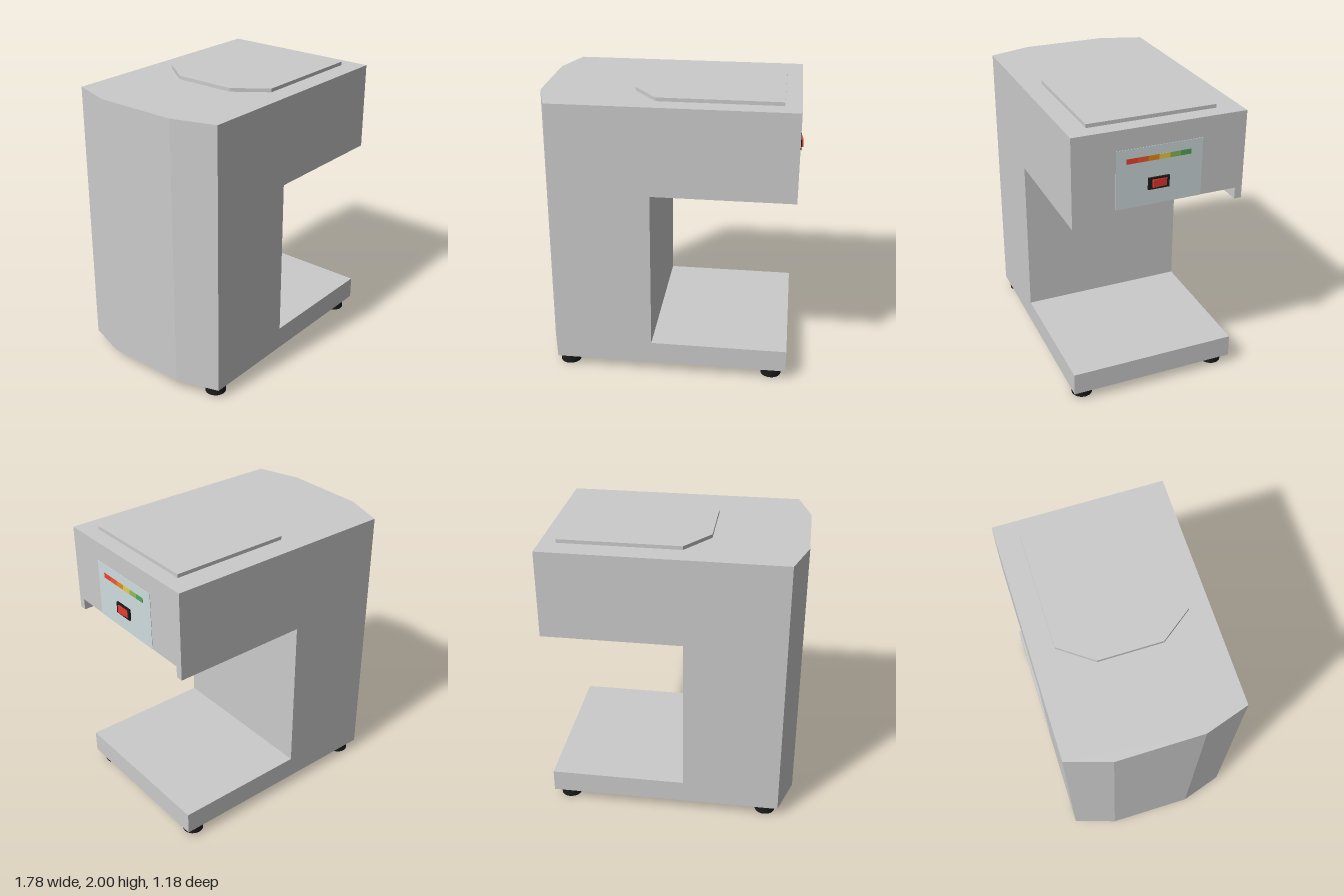
import * as THREE from 'three';

const mat = (color) => new THREE.MeshStandardMaterial({ color });

// Upright slab from a plan outline of [x, z] points
function slab(points, y0, y1) {
  const shape = new THREE.Shape(points.map(([x, z]) => new THREE.Vector2(x, -z)));
  const g = new THREE.ExtrudeGeometry(shape, { depth: y1 - y0, bevelEnabled: false });
  return g.rotateX(-Math.PI / 2).translate(0, y0, 0);
}

// Body plan with chamfered rear corners, reaching forward to x = end
const bodyPlan = (end) => [
  [end, 0.59], [end, -0.595], [-0.795, -0.595], [-0.89, -0.3], [-0.89, 0.29], [-0.795, 0.59],
];

export function createModel() {
  const model = new THREE.Group();
  const grey = mat(0xcccccc);
  const black = mat(0x1c1c1c);

  const add = (name, geometry, material, x = 0, y = 0, z = 0) => {
    const mesh = new THREE.Mesh(geometry, material);
    mesh.name = name;
    mesh.position.set(x, y, z);
    model.add(mesh);
    return mesh;
  };
  const box = (name, w, h, d, material, x, y, z) =>
    add(name, new THREE.BoxGeometry(w, h, d), material, x, y, z);

  // C-shaped body
  add('base', slab(bodyPlan(0.845), 0.07, 0.23), grey);
  add('column', slab(bodyPlan(-0.11), 0.23, 1.44), grey);
  add('head', slab(bodyPlan(0.86), 1.44, 1.975), grey);

  // Lips hanging below both sides of the head
  box('leftLip', 0.97, 0.08, 0.05, grey, 0.375, 1.4, 0.565);
  box('rightLip', 0.97, 0.08, 0.05, grey, 0.375, 1.4, -0.57);

  // Raised lid
  add('lid', slab([
    [0.75, 0.45], [0.75, -0.435], [-0.085, -0.435], [-0.25, -0.21], [-0.25, 0.23], [-0.085, 0.45],
  ], 1.975, 2), grey);

  // Feet
  const footGeometry = new THREE.CylinderGeometry(0.072, 0.072, 0.07, 24);
  for (const [x, z] of [[-0.72, 0.5], [-0.7, -0.505], [0.74, 0.5], [0.74, -0.505]]) {
    add('foot', footGeometry, black, x, 0.035, z);
  }

  // Control panel and coloured level strip
  box('controlPanel', 0.003, 0.4, 0.59, mat(0xd0dde0), 0.861, 1.64, 0.005);
  [0xee4433, 0xf05a28, 0xef8a1c, 0xe8cf45, 0x8dbb55, 0x55a85c].forEach((color, i) => {
    box('levelSegment', 0.003, 0.035, 0.0735, mat(color), 0.8625, 1.76, 0.193 - i * 0.0735);
  });

  // Rocker switch
  box('switchFrame', 0.014, 0.08, 0.145, black, 0.868, 1.588, 0.012);
  add('switchRocker', slab([
    [0.87, 0.06], [0.886, 0.055], [0.877, -0.042], [0.87, -0.042],
  ], 1.562, 1.615), mat(0xee3a30));

  return model;
}
